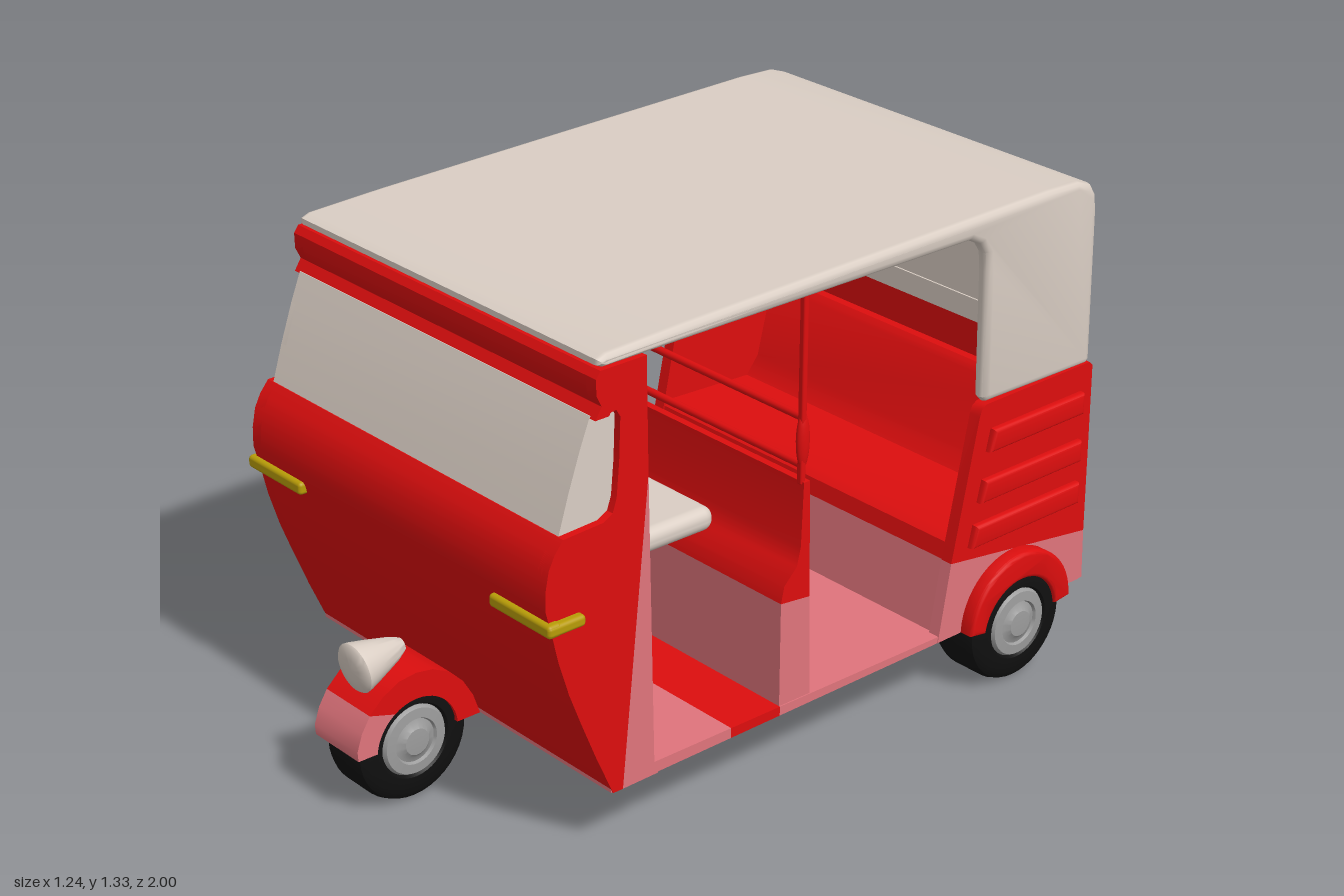
import * as THREE from 'three';
import { toCreasedNormals } from 'three/addons/utils/BufferGeometryUtils.js';
import { RoundedBoxGeometry } from 'three/addons/geometries/RoundedBoxGeometry.js';

const paint = (name, color) => {
  const m = new THREE.MeshStandardMaterial({ color });
  m.name = name;
  return m;
};

export function createModel() {
  const red = paint('red', 0xdd0e0e);
  const pink = paint('pink', 0xe0747c);
  const cream = paint('cream', 0xdacec4);
  const black = paint('black', 0x101010);
  const grey = paint('grey', 0x9c9c9c);
  const gold = paint('gold', 0xb89c08);

  const model = new THREE.Group();
  model.name = 'threeWheeler';

  const add = (name, geo, mat, x = 0, y = 0, z = 0) => {
    const mesh = new THREE.Mesh(geo, mat);
    mesh.name = name;
    mesh.position.set(x, y, z);
    model.add(mesh);
    return mesh;
  };
  const box = (name, mat, w, h, d, x, y, z, r = 0.01) =>
    add(name, new RoundedBoxGeometry(w, h, d, 3, r), mat, x, y, z);

  // Extrude a side profile given as [z, y] points from x0 to x1
  const prof = (name, mat, pts, x0, x1, bevel = 0) => {
    const shape = new THREE.Shape(pts.map(([z, y]) => new THREE.Vector2(-z, y)));
    let geo = new THREE.ExtrudeGeometry(shape, {
      depth: x1 - x0 - 2 * bevel, bevelEnabled: bevel > 0, bevelSize: bevel,
      bevelThickness: bevel, bevelOffset: -bevel, bevelSegments: 3,
    });
    geo.translate(0, 0, x0 + bevel);
    geo.rotateY(Math.PI / 2);
    geo = toCreasedNormals(geo, 0.65);
    return add(name, geo, mat);
  };
  const both = (name, mat, pts, x0, x1, bevel = 0) => {
    prof(name + 'Left', mat, pts, x0, x1, bevel);
    prof(name + 'Right', mat, pts, -x1, -x0, bevel);
  };
  // Sheet following a front profile, thickened backwards
  const sheet = (pts, t) => [...pts, ...pts.map(([z, y]) => [z - t, y]).reverse()];
  const arc = (cz, cy, r, a0, a1, n) => Array.from({ length: n + 1 }, (_, i) => {
    const a = a0 + (a1 - a0) * i / n;
    return [cz + r * Math.cos(a), cy + r * Math.sin(a)];
  });

  // Front cowl, visor and wraparound windscreen
  const visor = [[0.645, 1.268], [0.658, 1.25], [0.657, 1.21], [0.642, 1.18], [0.661, 1.15]];
  const nose = [[0.757, 0.885], [0.782, 0.855], [0.8, 0.82], [0.81, 0.77], [0.811, 0.72],
    [0.795, 0.66], [0.775, 0.575], [0.745, 0.48], [0.71, 0.39], [0.665, 0.28], [0.615, 0.168]];
  prof('visor', red, sheet(visor, 0.04), -0.58, 0.58);
  prof('frontCowl', red, sheet(nose, 0.03), -0.58, 0.58);
  prof('windscreen', cream, sheet([[0.66, 1.155], [0.69, 1.08], [0.725, 0.98], [0.756, 0.88]], 0.02), -0.56, 0.56);
  const notch = [[0.6, 1.16], [0.588, 1.14], [0.592, 1.03], [0.6, 0.94], [0.612, 0.905], [0.64, 0.89]];
  both('quarterWindow', cream, [[0.655, 1.155], [0.69, 1.08], [0.725, 0.98], [0.752, 0.88], ...notch.slice().reverse()], 0.54, 0.56);
  both('frontPillar', red, [[0.51, 1.268], ...visor, ...notch, ...nose, [0.585, 0.168], [0.505, 0.97]], 0.545, 0.58);
  both('pillarFoot', pink, [[0.505, 0.97], [0.585, 0.168], [0.475, 0.17], [0.487, 0.2]], 0.545, 0.58);

  // Corner indicators
  for (const s of [1, -1]) {
    box('indicatorFront', gold, 0.225, 0.034, 0.04, s * 0.4875, 0.672, 0.797);
    box('indicatorSide', gold, 0.03, 0.03, 0.11, s * 0.586, 0.672, 0.762);
  }

  // Floor in three bands
  const floor = (name, mat, a, b) => {
    const low = z => 0.178 - 0.014 * z;
    prof(name, mat, [[a, 0.202], [b, 0.202], [b, low(b)], [a, low(a)]], -0.578, 0.578);
  };
  floor('frontFloor', pink, 0.62, 0.24);
  floor('floorBand', red, 0.24, 0.08);
  floor('rearFloor', pink, 0.08, -0.99);

  // Partition behind the driver, with posts and rails
  prof('partitionBase', pink, [[0.08, 0.2], [-0.022, 0.2], [-0.014, 0.475], [0.08, 0.485]], -0.575, 0.575);
  prof('partitionTop', red, [[0.08, 0.485], [-0.014, 0.475], [-0.008, 0.79], [0.012, 0.79],
    [0.018, 0.62], [0.03, 0.57], [0.07, 0.53]], -0.575, 0.575);
  for (const s of [1, -1]) {
    box('partitionPost', red, 0.018, 0.5, 0.016, s * 0.56, 1.03, 0.008, 0.005);
    const cap = add('railCap', new THREE.SphereGeometry(1, 20, 12), red, s * 0.56, 0.895, 0.005);
    cap.scale.set(0.014, 0.075, 0.019);
  }
  for (const y of [0.83, 0.955]) {
    const rail = add('partitionRail', new THREE.CylinderGeometry(0.01, 0.01, 1.12, 12), red, 0, y, 0.005);
    rail.rotation.z = Math.PI / 2;
  }

  // Driver seat
  box('driverSeat', cream, 0.56, 0.066, 0.345, 0, 0.588, 0.2, 0.03);
  add('seatPost', new THREE.CylinderGeometry(0.009, 0.009, 0.36, 12), red, 0, 0.38, 0.242);

  // Rear body: side panels, tail wall, ribs
  both('rearPanel', red, [[-0.502, 0.4], [-0.582, 0.785], [-0.59, 0.805], [-0.605, 0.814],
    [-0.98, 0.822], [-0.992, 0.81], [-0.996, 0.335]], 0.545, 0.58);
  both('rearPanelBase', pink, [[-0.465, 0.186], [-0.502, 0.4], [-0.996, 0.335], [-1, 0.195]], 0.545, 0.58);
  prof('tailWall', red, [[-0.955, 0.82], [-0.98, 0.822], [-0.992, 0.81], [-0.996, 0.335], [-0.955, 0.335]], -0.56, 0.56);
  prof('tailWallBase', pink, [[-0.955, 0.335], [-0.996, 0.335], [-1, 0.195], [-0.955, 0.195]], -0.56, 0.56);
  for (const [y, z] of [[0.715, -0.615], [0.58, -0.59], [0.46, -0.565]]) {
    both('sideRib', red, [[z + 0.006, y - 0.032], [z - 0.008, y + 0.028], [-0.952, y + 0.034], [-0.952, y - 0.026]], 0.565, 0.6, 0.01);
  }

  // Passenger bench
  prof('benchFront', pink, [[-0.475, 0.2], [-0.505, 0.4], [-0.54, 0.4], [-0.54, 0.2]], -0.55, 0.55);
  prof('bench', red, [[-0.505, 0.4], [-0.515, 0.445], [-0.54, 0.46], [-0.82, 0.45], [-0.86, 0.5],
    [-0.91, 0.7], [-0.93, 0.72], [-0.96, 0.72], [-0.96, 0.4]], -0.55, 0.55);

  // Canopy: roof skin, side skirts, rear wall with recessed window
  const roofTop = [[0.63, 1.268], [0.645, 1.275], [0.645, 1.29], [0.62, 1.3], [0.4, 1.308], [-0.2, 1.32],
    [-0.8, 1.331], [-0.91, 1.328], [-0.955, 1.312], [-0.975, 1.28], [-0.98, 1.23]];
  const bend = [[-0.59, 1.17], [-0.585, 1.22], [-0.565, 1.25], [-0.53, 1.268]];
  prof('roof', cream, [...roofTop, [-0.95, 1.23], [-0.94, 1.27], [-0.9, 1.29], [-0.4, 1.28], [0.3, 1.268]], -0.558, 0.558);
  both('canopySide', cream, [...roofTop, [-0.986, 0.83], [-0.975, 0.816], [-0.61, 0.816], [-0.597, 0.83], ...bend], 0.535, 0.578, 0.019);
  const wall = new THREE.Shape([[-0.558, 0.818], [0.558, 0.818], [0.558, 1.24], [-0.558, 1.24]].map(p => new THREE.Vector2(...p)));
  const hole = new THREE.Path([[-0.38, 0.88], [-0.38, 1.2], [0.38, 1.2], [0.38, 0.88]].map(p => new THREE.Vector2(...p)));
  wall.holes.push(hole);
  add('canopyRear', new THREE.ExtrudeGeometry(wall, { depth: 0.032, bevelEnabled: false }), cream, 0, 0, -0.984);
  add('rearWindow', new THREE.BoxGeometry(0.78, 0.34, 0.012), cream, 0, 1.04, -0.963);

  // Wheels: rounded tyre, stepped hub on both faces
  const wheel = (name, x, z, halfW) => {
    const g = new THREE.Group();
    g.name = name;
    const r = 0.165;
    const lathe = (part, pts, mat) => {
      const geo = toCreasedNormals(new THREE.LatheGeometry(pts.map(p => new THREE.Vector2(...p)), 40), 0.6);
      const m = new THREE.Mesh(geo, mat);
      m.name = part;
      m.rotation.z = -Math.PI / 2;
      g.add(m);
    };
    const w = halfW;
    lathe('tyre', [[0, -w + 0.02], [0.09, -w + 0.015], [0.1, -w], [0.14, -w], [0.158, -w + 0.012], [r, -w + 0.03],
      [r, w - 0.03], [0.158, w - 0.012], [0.14, w], [0.1, w], [0.09, w - 0.015], [0, w - 0.02]], black);
    lathe('hub', [[0, -w - 0.01], [0.035, -w - 0.008], [0.045, -w], [0.058, -w + 0.004], [0.062, -w - 0.004], [0.088, -w - 0.002], [0.097, -w + 0.012],
      [0.097, w - 0.012], [0.088, w + 0.002], [0.062, w + 0.004], [0.058, w - 0.004], [0.045, w], [0.035, w + 0.008], [0, w + 0.01]], grey);
    g.position.set(x, r, z);
    model.add(g);
  };
  wheel('rearWheelLeft', 0.533, -0.73, 0.077);
  wheel('rearWheelRight', -0.533, -0.73, 0.077);
  wheel('frontWheel', 0, 0.82, 0.077);

  // Rear wheel arches
  both('rearArch', red, [...arc(-0.73, 0.188, 0.182, 0, Math.PI, 24), ...arc(-0.73, 0.165, 0.13, Math.PI - 0.12, 0.12, 20)], 0.56, 0.622, 0.01);

  // Front mudguard, split along its slanting colour line
  prof('mudguard', red, [[0.96, 0.29], [0.92, 0.327], [0.87, 0.352], [0.82, 0.358], [0.77, 0.35], [0.72, 0.325],
    [0.68, 0.285], [0.65, 0.235], [0.63, 0.178], [0.70, 0.178], ...arc(0.82, 0.165, 0.122, Math.PI - 0.2, 1.0, 14)], -0.088, 0.088);
  prof('mudguardNose', pink, [[0.96, 0.29], ...arc(0.82, 0.165, 0.122, 1.0, 0.1, 10), [0.95, 0.178],
    [0.998, 0.178], [1, 0.205], [0.985, 0.25]], -0.088, 0.088);

  // Headlamp
  const lampPts = [[0, 0], [0.018, 0.002], [0.032, 0.03], [0.052, 0.09], [0.064, 0.13], [0.066, 0.142], [0.06, 0.148], [0.03, 0.153], [0, 0.155]];
  const lampGeo = toCreasedNormals(new THREE.LatheGeometry(lampPts.map(p => new THREE.Vector2(...p)), 32), 0.8);
  const lamp = add('headlamp', lampGeo, cream, 0, 0.392, 0.795);
  lamp.rotation.x = Math.PI / 2 + 0.12;

  return model;
}
